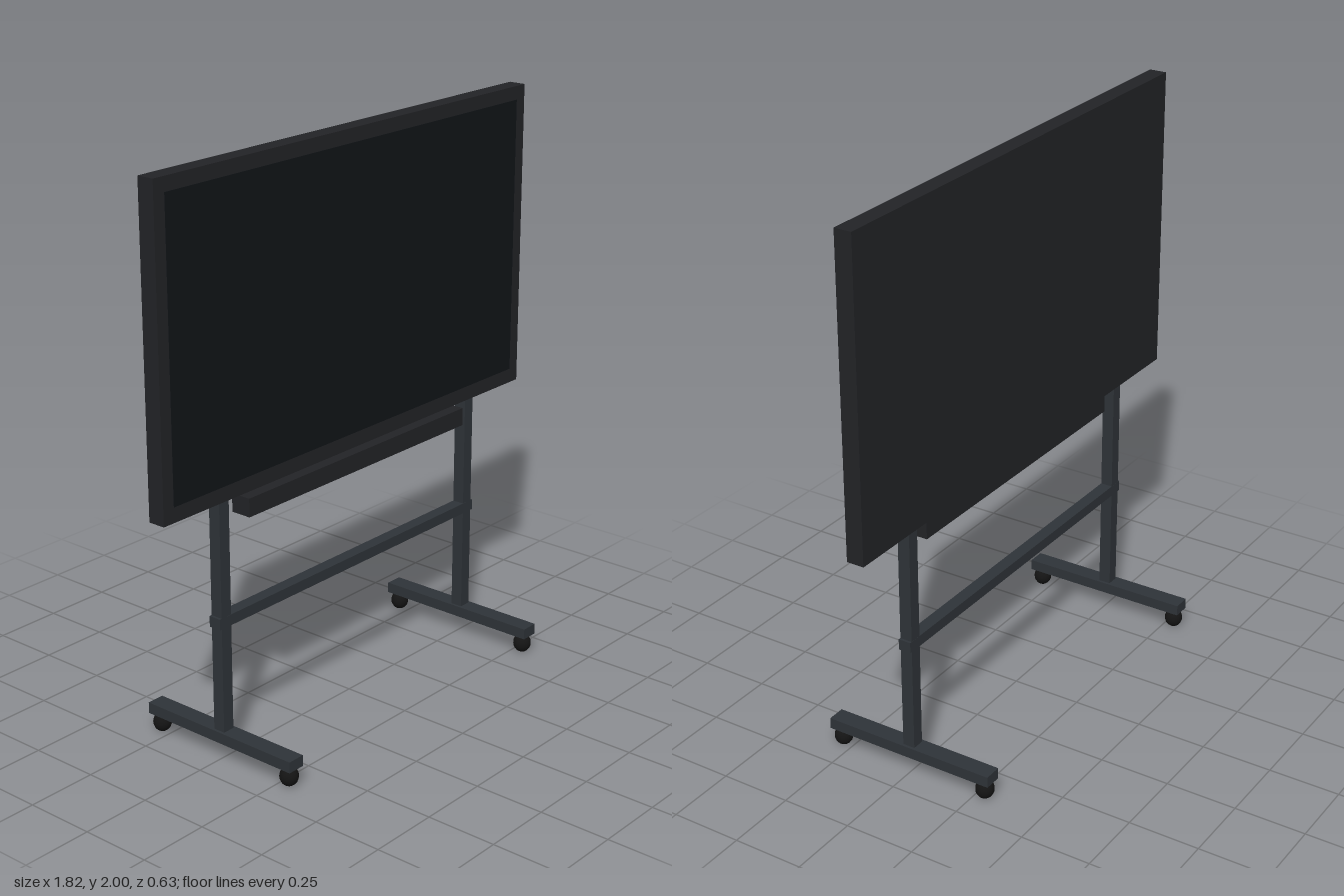
import * as THREE from 'three';

const material = (color) => new THREE.MeshStandardMaterial({ color });

export function createModel() {
  const model = new THREE.Group();
  model.name = 'mobileDisplayStand';
  const casing = material(0x222326);
  const glass = material(0x101417);
  const metal = material(0x2e3338);
  const rubber = material(0x141414);

  // Box given by its extents along each axis
  const box = (name, mat, [x0, x1], [y0, y1], [z0, z1]) => {
    const mesh = new THREE.Mesh(new THREE.BoxGeometry(x1 - x0, y1 - y0, z1 - z0), mat);
    mesh.position.set((x0 + x1) / 2, (y0 + y1) / 2, (z0 + z1) / 2);
    mesh.name = name;
    model.add(mesh);
  };

  // Display: casing, dark panel inside the bezel, sound bar below
  box('displayCasing', casing, [-0.908, 0.908], [0.915, 2], [-0.0315, 0.0305]);
  box('displayPanel', glass, [-0.863, 0.863], [0.967, 1.952], [0.02, 0.0315]);
  box('soundBar', casing, [-0.554, 0.554], [0.842, 0.906], [-0.018, 0.056]);

  // Cross brace running through both posts
  box('crossBrace', metal, [-0.665, 0.665], [0.477, 0.515], [-0.0225, 0.0225]);

  // Post, foot and two ball casters on each side
  const casterGeometry = new THREE.SphereGeometry(0.032, 16, 12);
  for (const [side, sign] of [['left', 1], ['right', -1]]) {
    const x = sign * 0.634;
    box(`${side}Post`, metal, [x - 0.022, x + 0.022], [0.1, 0.95], [-0.022, 0.022]);
    box(`${side}Foot`, metal, [x - 0.032, x + 0.032], [0.067, 0.106], [-0.316, 0.316]);
    for (const [end, z] of [['Front', 0.285], ['Back', -0.285]]) {
      const caster = new THREE.Mesh(casterGeometry, rubber);
      caster.name = `${side}${end}Caster`;
      caster.position.set(x, 0.0345, z);
      caster.scale.y = 0.0345 / 0.032;
      model.add(caster);
    }
  }
  return model;
}
